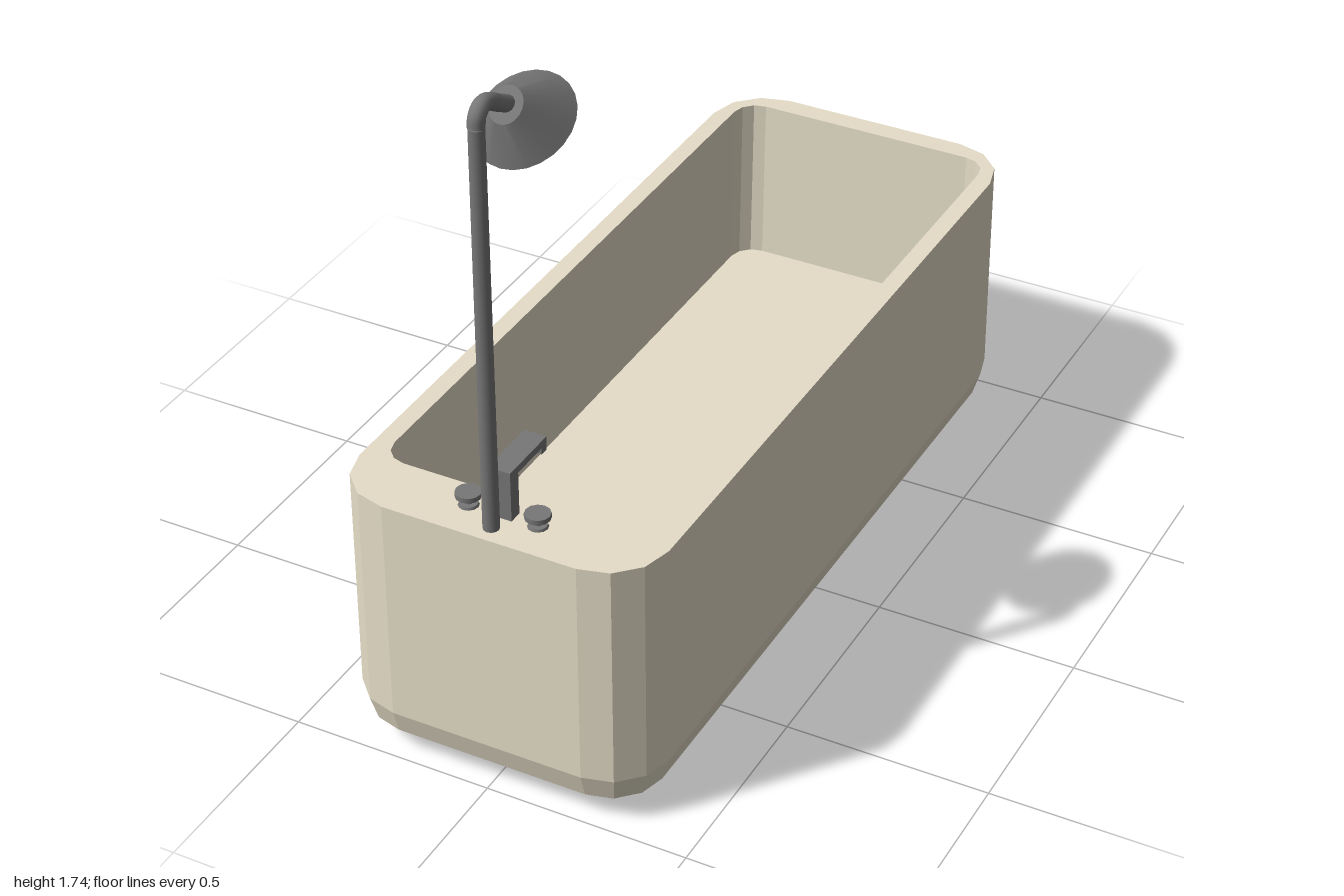
import * as THREE from 'three';
import { toCreasedNormals } from 'three/addons/utils/BufferGeometryUtils.js';

// Skin a stack of equal-length rings and close both ends
function loft(rings, crease) {
  const n = rings[0].length, last = (rings.length - 1) * n, index = [];
  for (let i = 0; i < rings.length - 1; i++) {
    for (let j = 0; j < n; j++) {
      const a = i * n + j, b = i * n + (j + 1) % n;
      index.push(a, a + n, b + n, a, b + n, b);
    }
  }
  for (let j = 1; j < n - 1; j++) {
    index.push(0, j, j + 1, last, last + j + 1, last + j);
  }
  const geo = new THREE.BufferGeometry().setFromPoints(rings.flat());
  geo.setIndex(index);
  return toCreasedNormals(geo, crease);
}

// Horizontal rounded rectangle with three facets per corner
function roundedRing(hx, zBack, zFront, r, y) {
  const corners = [[hx - r, zFront - r], [r - hx, zFront - r], [r - hx, zBack + r], [hx - r, zBack + r]];
  return corners.flatMap(([cx, cz], q) => [0, 1, 2, 3].map(k => {
    const t = (q + k / 3) * Math.PI / 2;
    return new THREE.Vector3(cx + r * Math.cos(t), y, cz + r * Math.sin(t));
  }));
}

// Tilted circle: radius along x, plus a (y, z) half-axis
function tiltedRing(y, z, rx, vy, vz, n = 24) {
  return Array.from({ length: n }, (_, j) => {
    const t = j / n * Math.PI * 2;
    return new THREE.Vector3(rx * Math.cos(t), y + vy * Math.sin(t), z + vz * Math.sin(t));
  });
}

export function createModel() {
  const enamel = new THREE.MeshStandardMaterial({ color: 0xe6dec8 });
  enamel.name = 'enamel';
  const metal = new THREE.MeshStandardMaterial({ color: 0x777777 });
  metal.name = 'darkMetal';

  const model = new THREE.Group();
  model.name = 'bathtub';
  const add = (parent, name, geo, mat, x = 0, y = 0, z = 0) => {
    const mesh = new THREE.Mesh(geo, mat);
    mesh.name = name;
    mesh.position.set(x, y, z);
    parent.add(mesh);
  };

  // Tub: faceted rounded base, straight sides, rim, inner walls and floor
  const R = 0.145, top = 0.695, rings = [];
  for (let k = 0; k <= 3; k++) {
    const t = k / 3 * Math.PI / 2, inset = R * (1 - Math.sin(t));
    rings.push(roundedRing(0.385 - inset, -1 + inset, 1 - inset, R - inset, 0.125 * (1 - Math.cos(t))));
  }
  rings.push(roundedRing(0.385, -1, 1, R, top));
  rings.push(roundedRing(0.341, -0.945, 0.84, 0.06, top));
  rings.push(roundedRing(0.341, -0.932, 0.84, 0.06, 0.265));
  add(model, 'tub', loft(rings, 0.05), enamel);

  const fixtures = new THREE.Group();
  fixtures.name = 'fixtures';
  fixtures.position.x = 0.009;
  model.add(fixtures);

  // Shower riser and bent arm
  add(fixtures, 'showerRiser', new THREE.CylinderGeometry(0.018, 0.019, 0.985, 12), metal, 0, 1.1875, 0.956);
  const bend = new THREE.CatmullRomCurve3([
    [1.68, 0.957], [1.705, 0.952], [1.721, 0.932], [1.717, 0.908], [1.695, 0.87], [1.67, 0.825],
  ].map(([y, z]) => new THREE.Vector3(0, y, z)));
  add(fixtures, 'showerArm', new THREE.TubeGeometry(bend, 20, 0.019, 12), metal);

  // Shower head, a skewed cone facing down into the tub
  add(fixtures, 'showerHead', loft([
    tiltedRing(1.603, 0.766, 0.11, -0.062, 0.104),
    tiltedRing(1.674, 0.839, 0.038, -0.031, 0.029),
  ], 0.7), metal);

  // Tap: post, spout and lip
  add(fixtures, 'tapPost', new THREE.BoxGeometry(0.055, 0.125, 0.034), metal, 0, 0.7575, 0.9);
  add(fixtures, 'tapSpout', new THREE.BoxGeometry(0.055, 0.018, 0.157), metal, 0, 0.811, 0.8385);
  add(fixtures, 'tapLip', new THREE.BoxGeometry(0.055, 0.016, 0.022), metal, 0, 0.794, 0.771);

  // Pair of handles
  for (const side of [-1, 1]) {
    const handle = new THREE.Group();
    handle.name = side > 0 ? 'leftHandle' : 'rightHandle';
    handle.position.set(side * 0.086, top, 0.905);
    fixtures.add(handle);
    add(handle, 'flange', new THREE.CylinderGeometry(0.022, 0.024, 0.006, 12), metal, 0, 0.003, 0);
    add(handle, 'stem', new THREE.CylinderGeometry(0.009, 0.009, 0.026, 10), metal, 0, 0.013, 0);
    add(handle, 'knob', new THREE.CylinderGeometry(0.03, 0.03, 0.012, 12), metal, 0, 0.029, 0);
  }
  return model;
}
